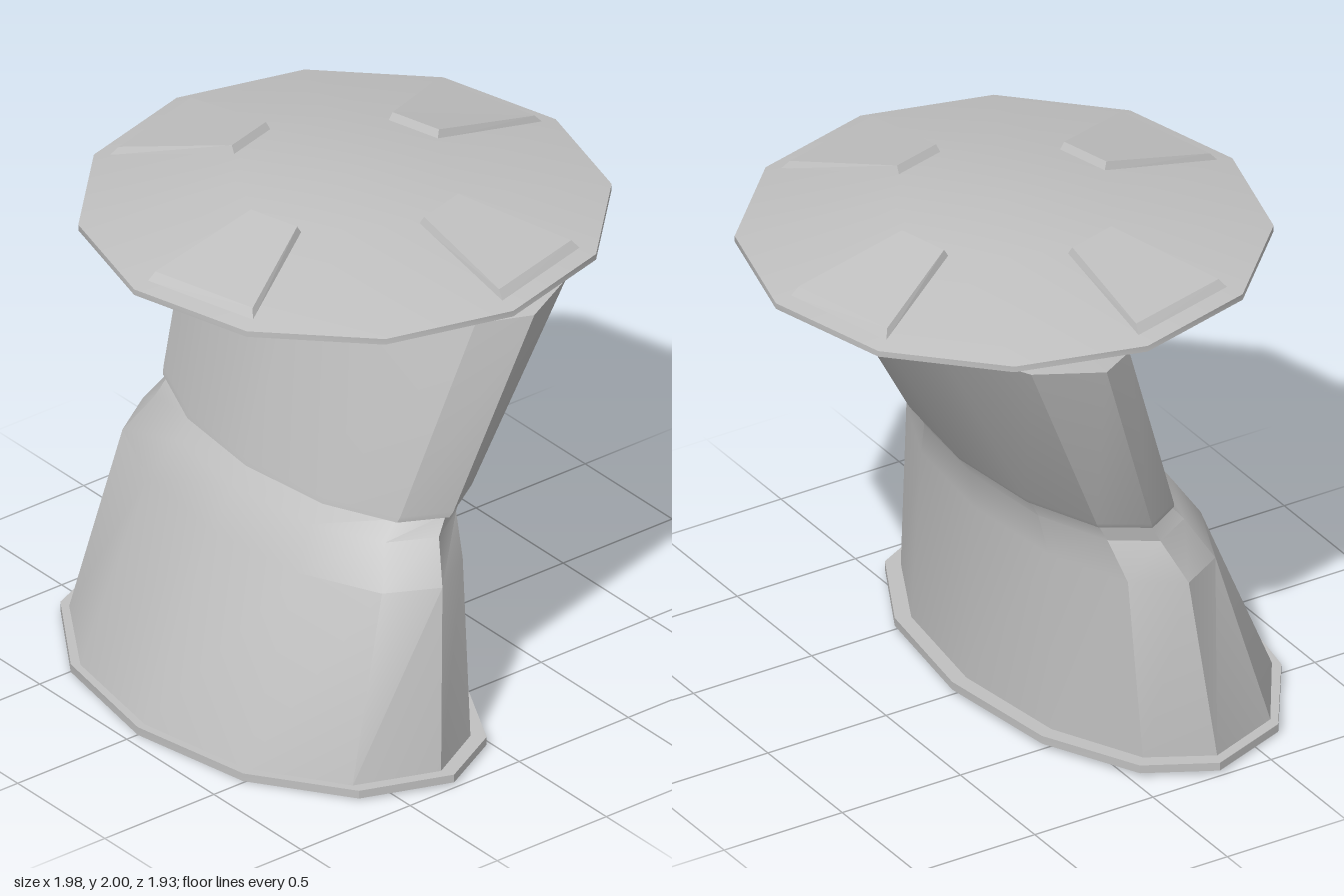
import * as THREE from 'three';
import { toCreasedNormals } from 'three/addons/utils/BufferGeometryUtils.js';

const SIDES = 12;
const CREASE = 0.5;

// One 12-sided ring with different front and back depths.
// frontDy / backDy tilt the ring towards its front and back points.
function ring({ rx, zc, front, back, y, frontDy = 0, backDy = 0 }) {
  const pts = [];
  for (let i = 0; i < SIDES; i++) {
    const a = (i / SIDES) * Math.PI * 2, c = Math.cos(a);
    pts.push([
      rx * Math.sin(a),
      y + (c > 0 ? frontDy * c : -backDy * c),
      zc + (c > 0 ? front : back) * c,
    ]);
  }
  return pts;
}

// Skin a stack of rings (bottom to top) and close both ends.
function loft(sections) {
  const rings = sections.map(ring);
  const pos = [], index = [];
  rings.forEach((r) => r.forEach((p) => pos.push(...p)));
  const last = rings.length - 1;
  const base = pos.length / 3;
  for (const s of [sections[0], sections[last]]) pos.push(0, s.y, s.zc);
  for (let i = 0; i < SIDES; i++) {
    const j = (i + 1) % SIDES;
    for (let k = 0; k < last; k++) {
      const a = k * SIDES + i, b = k * SIDES + j;
      index.push(a, b, b + SIDES, a, b + SIDES, a + SIDES);
    }
    index.push(base, j, i, base + 1, last * SIDES + i, last * SIDES + j);
  }
  const g = new THREE.BufferGeometry();
  g.setAttribute('position', new THREE.Float32BufferAttribute(pos, 3));
  g.setIndex(index);
  return toCreasedNormals(g, CREASE);
}

// Raised wedge lying on one facet of the lid, between 0 and 30 degrees.
function padGeometry() {
  const corner = (r, deg, y) => {
    const a = THREE.MathUtils.degToRad(deg);
    return [r * Math.sin(a), y, r * Math.cos(a)];
  };
  const bottom = [corner(0.905, 0, 1.866), corner(0.905, 30, 1.866), corner(0.425, 30, 1.968), corner(0.425, 0, 1.968)];
  const top = [corner(0.875, 0.5, 1.9), corner(0.875, 29.2, 1.9), corner(0.44, 28.5, 2.0), corner(0.44, 1.5, 2.0)];
  const pos = [];
  const quad = (a, b, c, d) => pos.push(...a, ...b, ...c, ...a, ...c, ...d);
  quad(...top);
  for (let i = 0; i < 4; i++) {
    const j = (i + 1) % 4;
    quad(bottom[i], bottom[j], top[j], top[i]);
  }
  const g = new THREE.BufferGeometry();
  g.setAttribute('position', new THREE.Float32BufferAttribute(pos, 3));
  g.computeVertexNormals();
  return g;
}

export function createModel() {
  const model = new THREE.Group();
  model.name = 'model';
  const grey = new THREE.MeshStandardMaterial({ color: 0xc0c0c0, side: THREE.DoubleSide });
  grey.name = 'light grey';

  const add = (name, geometry, parent = model) => {
    const mesh = new THREE.Mesh(geometry, grey);
    mesh.name = name;
    parent.add(mesh);
    return mesh;
  };

  // Thin foot plate
  const foot = { rx: 0.99, zc: 0.29, front: 0.66, back: 0.51, frontDy: -0.015, backDy: 0.005 };
  add('footPlate', loft([{ ...foot, y: 0.015 }, { ...foot, y: 0.047 }]));

  // Lower body, leaning back and narrowing to the waist
  add('lowerBody', loft([
    { rx: 0.94, zc: 0.31, front: 0.61, back: 0.47, y: 0.045, frontDy: -0.015, backDy: 0.005 },
    { rx: 0.86, zc: 0.24, front: 0.37, back: 0.37, y: 0.745, frontDy: -0.02, backDy: 0.005 },
    { rx: 0.765, zc: 0.18, front: 0.33, back: 0.32, y: 0.89, frontDy: -0.02, backDy: 0.005 },
    { rx: 0.755, zc: 0.14, front: 0.295, back: 0.315, y: 0.965, frontDy: -0.025, backDy: 0.005 },
  ]));

  // Upper body, with a small lip overhanging the waist
  add('upperBody', loft([
    { rx: 0.775, zc: 0.14, front: 0.315, back: 0.33, y: 0.962, frontDy: -0.025, backDy: 0.005 },
    { rx: 0.785, zc: 0.13, front: 0.32, back: 0.335, y: 0.985, frontDy: -0.025, backDy: 0.005 },
    { rx: 0.912, zc: -0.14, front: 0.345, back: 0.485, y: 1.762, frontDy: -0.057, backDy: 0.01 },
  ]));

  // Hollow lid floating above the body
  const lid = new THREE.Group();
  lid.name = 'lid';
  model.add(lid);
  const profile = [[0.966, 1.832], [0.966, 1.855], [0.4, 1.978], [0, 1.986]]
    .map(([r, y]) => new THREE.Vector2(r, y));
  add('lidShell', toCreasedNormals(new THREE.LatheGeometry(profile, SIDES), 0.55), lid);

  // Four raised pads on the lid
  const pad = padGeometry();
  for (let i = 0; i < 4; i++) add('lidPad' + (i + 1), pad, lid).rotation.y = (i * Math.PI) / 2;

  return model;
}
